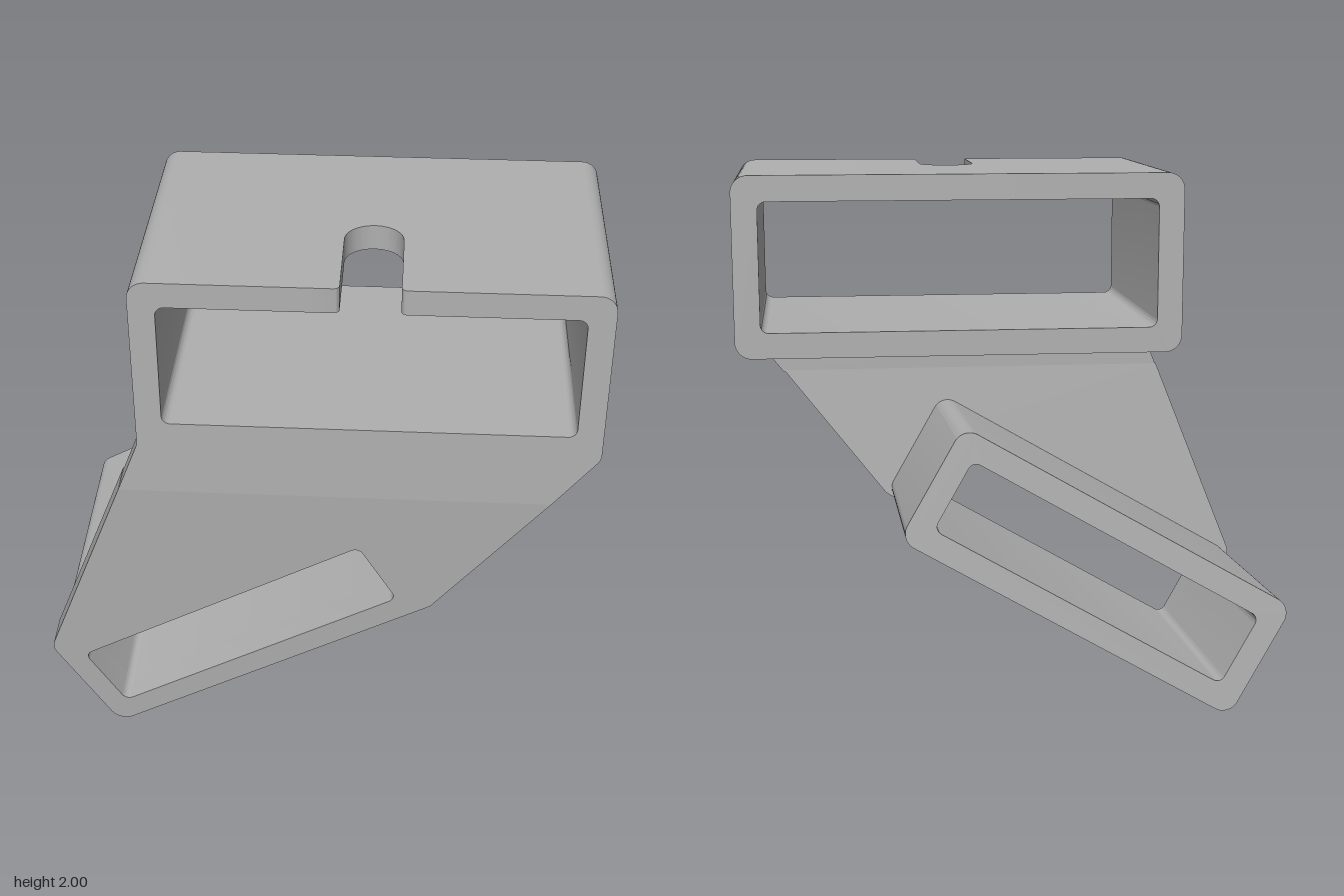
import * as THREE from 'three';
import { toCreasedNormals } from 'three/addons/utils/BufferGeometryUtils.js';

const grey = new THREE.MeshStandardMaterial({ color: 0xb0b0b0 });
grey.name = 'plain grey';

// Trace a closed polygon of [x, y, filletRadius] corners with true arc fillets.
function trace(path, corners) {
  const n = corners.length;
  corners.forEach(([x, y, r = 0], i) => {
    const p = new THREE.Vector2(x, y);
    const go = (q) => (i === 0 ? path.moveTo(q.x, q.y) : path.lineTo(q.x, q.y));
    if (!r) return go(p);
    const a = new THREE.Vector2(...corners[(i + n - 1) % n].slice(0, 2)).sub(p).normalize();
    const b = new THREE.Vector2(...corners[(i + 1) % n].slice(0, 2)).sub(p).normalize();
    const half = Math.acos(THREE.MathUtils.clamp(a.dot(b), -1, 1)) / 2;
    const start = p.clone().addScaledVector(a, r / Math.tan(half));
    const end = p.clone().addScaledVector(b, r / Math.tan(half));
    const c = p.clone().addScaledVector(a.clone().add(b).normalize(), r / Math.sin(half));
    go(start);
    path.absarc(c.x, c.y, r, Math.atan2(start.y - c.y, start.x - c.x),
      Math.atan2(end.y - c.y, end.x - c.x), a.cross(b) > 0);
  });
  path.closePath();
  return path;
}

// Extrude an outline (with optional hole) between two depths.
function slab(name, outline, hole, zBack, zFront) {
  const shape = trace(new THREE.Shape(), outline);
  if (hole) shape.holes.push(trace(new THREE.Path(), hole));
  const geo = new THREE.ExtrudeGeometry(shape, { depth: zFront - zBack, bevelEnabled: false, curveSegments: 10 });
  geo.translate(0, 0, zBack);
  const mesh = new THREE.Mesh(toCreasedNormals(geo, 0.6), grey);
  mesh.name = name;
  return mesh;
}

export function createModel() {
  const model = new THREE.Group();
  model.name = 'angledSleeveBracket';
  const R = 0.06, RI = 0.03, WALL = 0.09;
  const front = 0.585, back = -0.385, bendY = 1.17;

  // Upper sleeve, left open along the top for the slotted panel
  model.add(slab('upperSleeve', [
    [0, 2], [-0.6, 2, R], [-0.6, 1.365, R], [0.98, 1.365, R], [0.98, 2, R], [0.38, 2],
    [0.38, 1.91], [0.89, 1.91, RI], [0.89, 1.455, RI], [-0.51, 1.455, RI], [-0.51, 1.91, RI], [0, 1.91],
  ], null, back, front));

  // Top panel with the round-ended slot open to the front
  const panel = slab('slottedTopPanel', [
    [0, back], [0.38, back], [0.38, front], [0.29, front, 0.02], [0.29, 0.15, 0.0995],
    [0.09, 0.15, 0.0995], [0.09, front, 0.02], [0, front],
  ], null, 0, WALL);
  panel.rotation.x = Math.PI / 2;
  panel.position.y = 2;
  model.add(panel);

  // Upright part of the connecting plate
  model.add(slab('upperPlate', [
    [-0.677, bendY], [0.825, bendY], [0.98, 1.365, R], [0.98, 1.45], [-0.6, 1.45], [-0.6, 1.365, R],
  ], null, front - 0.12, front));

  // Lower part: tipped back, with a sleeve turned 30 degrees
  const lower = new THREE.Group();
  lower.name = 'lowerPart';
  lower.rotation.x = THREE.MathUtils.degToRad(4);
  lower.position.z = 0.503;
  model.add(lower);

  const W = 1.369, H = 0.459, c = Math.cos(Math.PI / 6), s = 0.5;
  const at = (u, v, r) => [-0.76 + u * c - v * s, -0.02 + u * s + v * c, r];
  const rect = (inset, r) => [
    at(inset, inset, r), at(W - inset, inset, r), at(W - inset, H - inset, r), at(inset, H - inset, r),
  ];
  const hole = rect(WALL, RI);
  lower.add(slab('lowerSleeve', rect(0, R), hole, -1.09, -0.11));
  lower.add(slab('lowerPlate', [
    at(0, 0, R), at(W, 0, R), [0.825, bendY + 0.003], [-0.677, bendY + 0.003], at(0, H, R),
  ], hole, -0.12, 0));

  return model;
}
